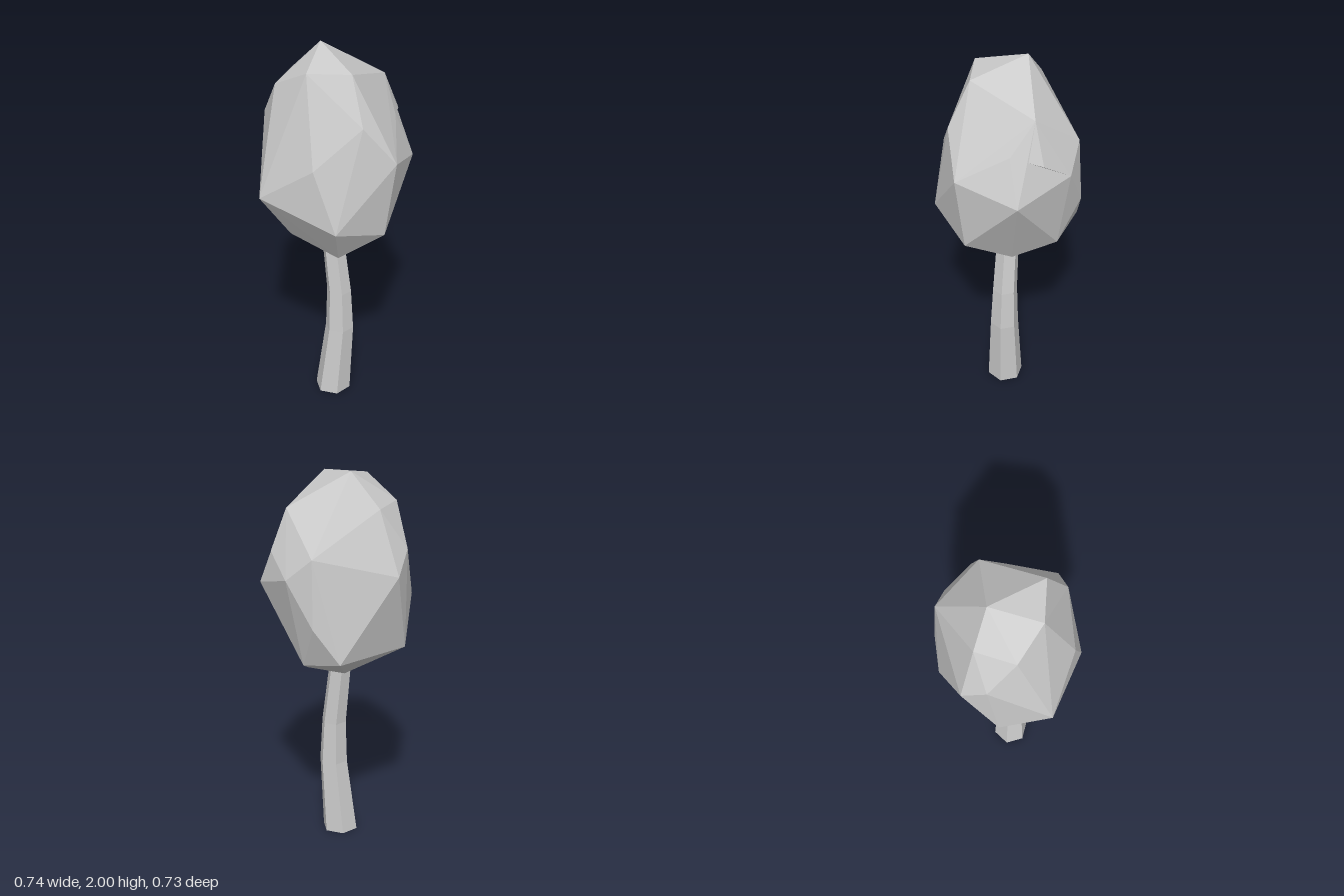
import * as THREE from 'three';
import { ConvexGeometry } from 'three/addons/geometries/ConvexGeometry.js';

const material = new THREE.MeshStandardMaterial({ color: 0xcccccc, flatShading: true });

// Faceted convex lump around a few corner points
function facetedLump(name, points) {
  const mesh = new THREE.Mesh(new ConvexGeometry(points.map(p => new THREE.Vector3(...p))), material);
  mesh.name = name;
  return mesh;
}

// Six-sided trunk: each ring is [height, centre x, centre z, radius], bottom to top
function makeTrunk() {
  const rings = [
    [0, -0.005, 0.03, 0.095],
    [0.4, 0.03, 0.023, 0.076],
    [0.63, 0.026, 0.02, 0.066],
    [1.08, -0.025, 0.01, 0.056],
  ];
  const last = rings.length - 1;
  const geometry = new THREE.CylinderGeometry(1, 1, last, 6, last, false, Math.PI / 2);
  const pos = geometry.attributes.position;
  for (let i = 0; i < pos.count; i++) {
    const [y, cx, cz, r] = rings[Math.round(pos.getY(i) + last / 2)];
    pos.setXYZ(i, cx + pos.getX(i) * r, y, cz + pos.getZ(i) * r);
  }
  geometry.computeVertexNormals();
  const trunk = new THREE.Mesh(geometry, material);
  trunk.name = 'trunk';
  return trunk;
}

export function createModel() {
  const group = new THREE.Group();
  group.name = 'tree';

  // Corners shared by the crown and its overhanging ledge
  const peak = [-0.095, 2.0, -0.065];
  const shoulder = [0.2, 1.82, -0.18];
  const notch = [0.285, 1.65, -0.08];
  const backUpper = [0, 1.62, -0.35];
  const backSide = [0.14, 1.5, -0.345];

  const crown = facetedLump('crown', [
    // top
    peak, [-0.085, 1.94, 0.2], [0.13, 1.945, 0.16], [-0.255, 1.83, -0.09], [-0.27, 1.83, 0.12], shoulder,
    // upper sides
    [0.21, 1.715, 0.25], notch, backUpper, [-0.37, 1.62, 0],
    // middle
    [-0.37, 1.51, -0.13], [0.36, 1.51, 0.175], [-0.01, 1.5, 0.347], backSide, [0.365, 1.41, -0.14],
    // lower sides
    [-0.3, 1.29, 0.31], [-0.01, 1.27, -0.367], [0.11, 1.175, 0.367], [0.3, 1.09, 0.15],
    [-0.35, 1.085, 0.05], [-0.135, 1.085, -0.32],
    // underside
    [-0.18, 1.04, 0.19], [0.08, 1.04, -0.27], [0.08, 0.955, 0.22], [-0.08, 0.96, -0.11], [0.14, 0.94, -0.05],
  ]);

  // Ledge jutting out over the notch at the back of the crown
  const ledge = facetedLump('crownLedge', [peak, shoulder, notch, backUpper, backSide, [0.26, 1.61, -0.24]]);

  group.add(makeTrunk(), crown, ledge);
  return group;
}
